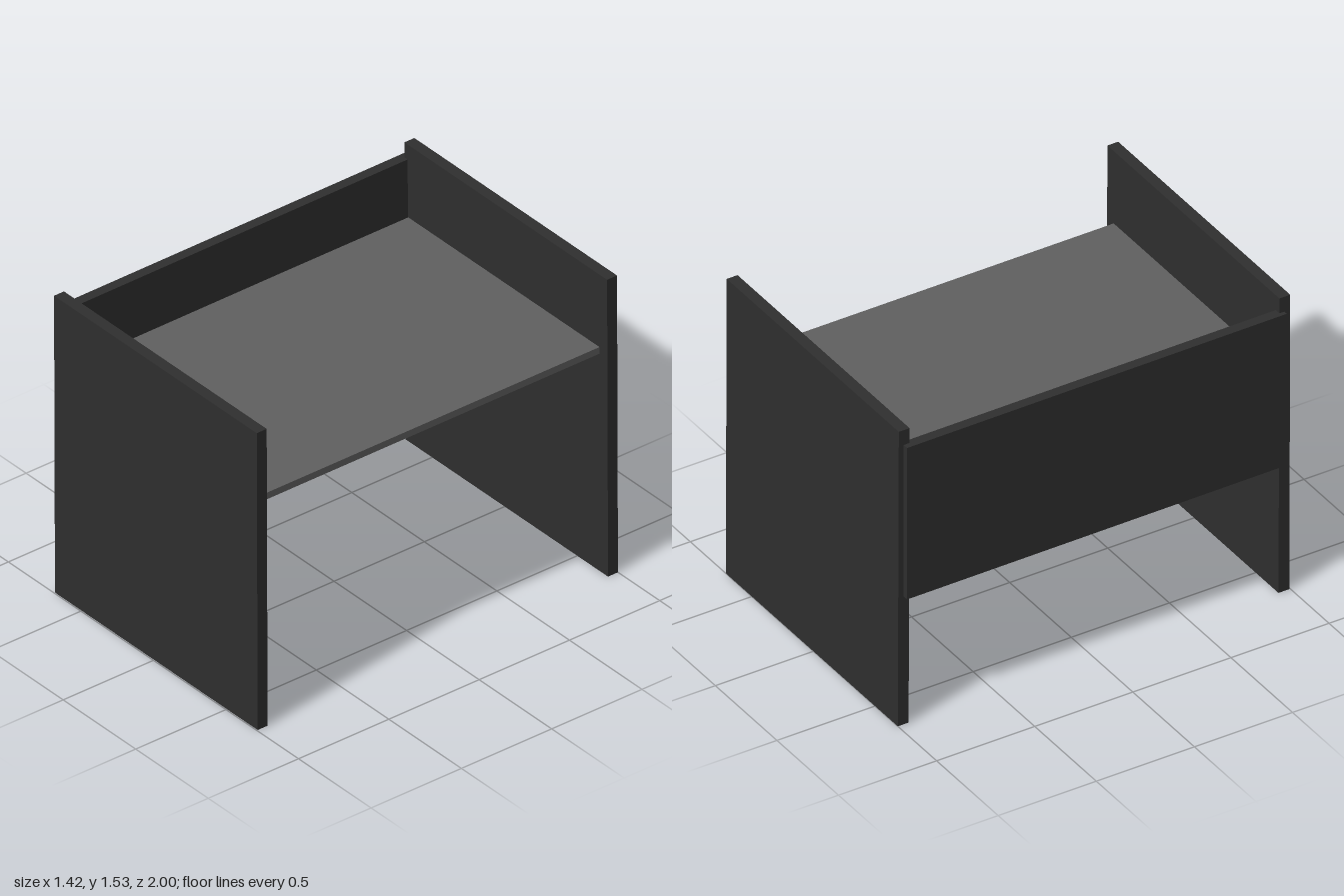
import * as THREE from 'three';

export function createModel() {
  const group = new THREE.Group();
  const panelMat = new THREE.MeshStandardMaterial({ color: 0x2f2f2f });
  panelMat.name = 'charcoal';
  const topMat = new THREE.MeshStandardMaterial({ color: 0x606060 });
  topMat.name = 'midGrey';

  // Box given by its lower and upper limits on each axis
  function slab(name, mat, [x0, x1], [y0, y1], [z0, z1]) {
    const geo = new THREE.BoxGeometry(x1 - x0, y1 - y0, z1 - z0);
    geo.translate((x0 + x1) / 2, (y0 + y1) / 2, (z0 + z1) / 2);
    const mesh = new THREE.Mesh(geo, mat);
    mesh.name = name;
    group.add(mesh);
    return mesh;
  }

  // Moves each corner by a small lean rule
  function lean(mesh, rule) {
    const p = mesh.geometry.attributes.position;
    const v = new THREE.Vector3();
    for (let i = 0; i < p.count; i++) {
      v.fromBufferAttribute(p, i);
      rule(v);
      p.setXYZ(i, v.x, v.y, v.z);
    }
    mesh.geometry.computeVertexNormals();
  }

  // Upright end panels, each leaning very slightly forward
  const frontPanel = slab('frontEndPanel', panelMat, [-0.685, 0.712], [0, 1.53], [0.94, 0.995]);
  const rearPanel = slab('rearEndPanel', panelMat, [-0.685, 0.712], [0, 1.53], [-1, -0.945]);
  for (const panel of [frontPanel, rearPanel]) {
    lean(panel, (v) => { v.z += 0.005 * v.y / 1.53; });
  }

  // Modesty panel along the long side, slightly skewed in plan
  const sidePanel = slab('sidePanel', panelMat, [-0.709, -0.659], [0.665, 1.453], [-0.97, 0.97]);
  lean(sidePanel, (v) => { v.x += 0.004 * v.z; });

  // Work surface with a narrower core beneath it
  slab('tableTop', topMat, [-0.66, 0.658], [1.122, 1.156], [-0.943, 0.943]);
  slab('tableCore', topMat, [-0.58, 0.575], [1.084, 1.122], [-0.943, 0.943]);

  return group;
}
